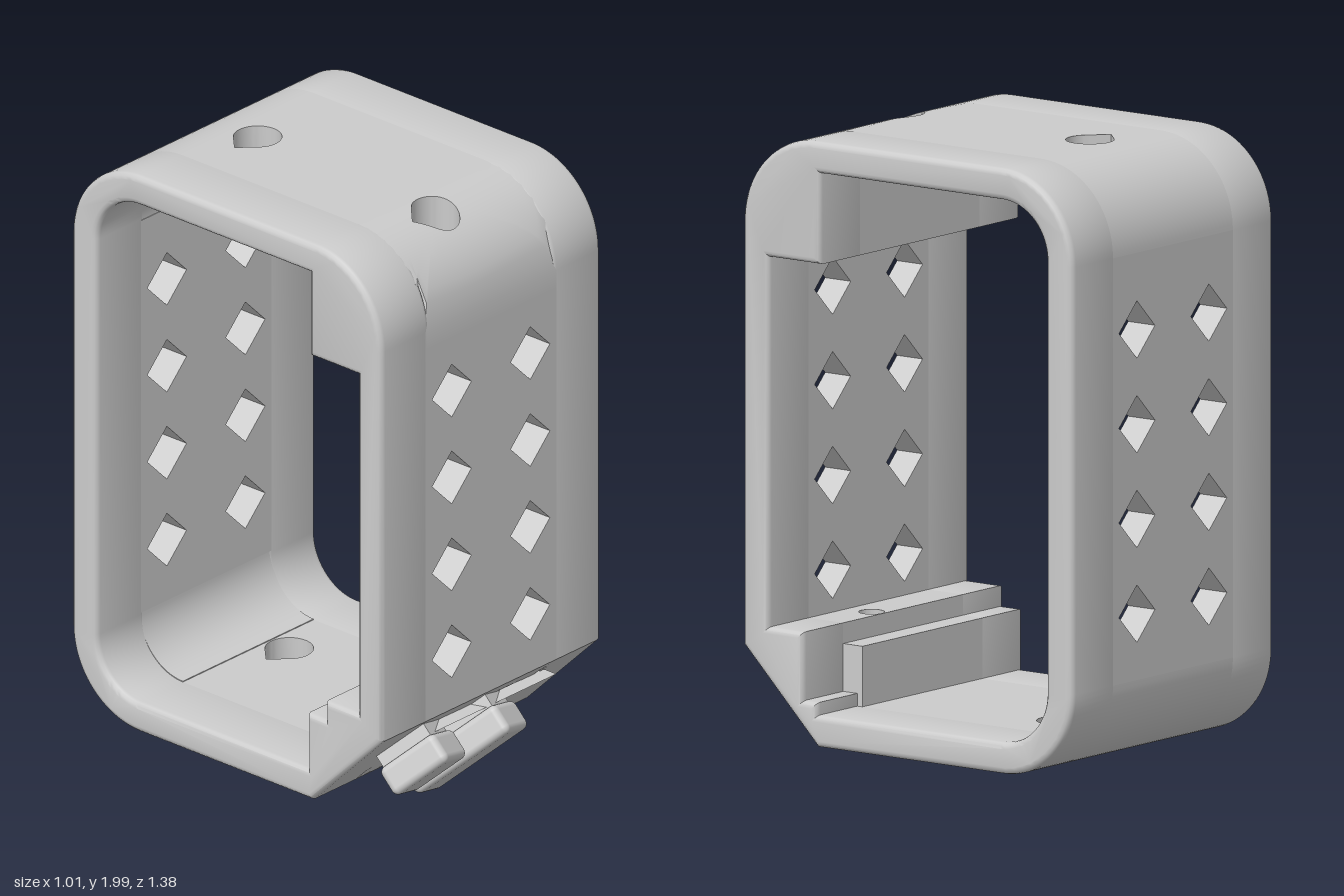
import * as THREE from 'three';
import { toCreasedNormals } from 'three/addons/utils/BufferGeometryUtils.js';
import { RoundedBoxGeometry } from 'three/addons/geometries/RoundedBoxGeometry.js';

const mat = new THREE.MeshStandardMaterial({ color: 0xcccccc });
const HALF = 0.505, MID = 0.3; // half width, half width of the perforated middle

function add(parent, name, geo) {
  const m = new THREE.Mesh(geo, mat);
  m.name = name;
  parent.add(m);
  return m;
}

// Extrude a (-z, y) section along x from x0 to x1.
function alongX(shape, x0, x1, bevel = 0) {
  const g = new THREE.ExtrudeGeometry(shape, {
    depth: x1 - x0 - 2 * bevel, curveSegments: 12, bevelEnabled: bevel > 0,
    bevelThickness: bevel, bevelSize: bevel, bevelOffset: -bevel, bevelSegments: 3,
  });
  g.rotateY(Math.PI / 2).translate(x0 + bevel, 0, 0);
  return toCreasedNormals(g, 0.6);
}

// Full ring section; the inner front bottom rail differs at each end.
function ringSection(railPoints) {
  const s = new THREE.Shape();
  s.moveTo(-0.31, 0.1);
  s.lineTo(0.41, 0.1);
  s.absarc(0.41, 0.38, 0.28, -Math.PI / 2, 0, false);
  s.lineTo(0.69, 1.72);
  s.absarc(0.41, 1.72, 0.28, 0, Math.PI / 2, false);
  s.lineTo(-0.32, 2);
  s.absarc(-0.32, 1.72, 0.28, Math.PI / 2, Math.PI, false);
  s.lineTo(-0.6, 0.39);
  s.closePath();
  const h = new THREE.Path();
  h.moveTo(-0.5, 1.615);
  h.lineTo(-0.3, 1.615);
  h.lineTo(-0.3, 1.9);
  h.lineTo(0.41, 1.9);
  h.absarc(0.41, 1.725, 0.175, Math.PI / 2, 0, true);
  h.lineTo(0.585, 0.375);
  h.absarc(0.41, 0.375, 0.175, 0, -Math.PI / 2, true);
  for (const [z, y] of railPoints) h.lineTo(-z, y);
  h.closePath();
  s.holes.push(h);
  return s;
}

// Quarter ring section for the two back corners.
function cornerSection(y, a0, a1) {
  const s = new THREE.Shape();
  s.absarc(0.41, y, 0.28, a0, a1, false);
  s.absarc(0.41, y, 0.177, a1, a0, true);
  s.closePath();
  return s;
}

// Wall with two columns of diamond openings.
function diamondWall(y0, y1, z0, z1) {
  const s = new THREE.Shape();
  s.moveTo(-MID, y0); s.lineTo(MID, y0); s.lineTo(MID, y1); s.lineTo(-MID, y1); s.closePath();
  for (const x of [-0.18, 0.18]) for (let i = 0; i < 4; i++) {
    const y = 0.588 + i * 0.297, d = 0.09, h = new THREE.Path();
    h.moveTo(x - d, y); h.lineTo(x, y + d); h.lineTo(x + d, y); h.lineTo(x, y - d); h.closePath();
    s.holes.push(h);
  }
  return new THREE.ExtrudeGeometry(s, { depth: z1 - z0, bevelEnabled: false }).translate(0, 0, z0);
}

// Slab between two height rules with a vertical round or teardrop hole,
// built from loops running around the hole.
function holedSlab(z0, z1, hole, bottom, top) {
  const angles = [];
  for (let i = 0; i < 48; i++) angles.push(-Math.PI + i * Math.PI / 24);
  for (const x of [-MID, MID]) for (const z of [z0, z1]) angles.push(Math.atan2(z - hole.z, x - hole.x));
  angles.sort((a, b) => a - b);
  const steps = 10, loops = [];
  const loop = (f, rule) => loops.push(angles.map((a) => {
    const c = Math.cos(a), s = Math.sin(a);
    const phi = Math.PI - Math.abs(a);
    const rho = hole.tear && phi < Math.PI / 4 ? hole.r / Math.cos(Math.PI / 4 - phi) : hole.r;
    const dx = Math.abs(c) < 1e-9 ? Infinity : ((c > 0 ? MID : -MID) - hole.x) / c;
    const dz = Math.abs(s) < 1e-9 ? Infinity : ((s > 0 ? z1 : z0) - hole.z) / s;
    const d = THREE.MathUtils.lerp(rho, Math.min(dx, dz), f);
    const z = hole.z + s * d;
    return [hole.x + c * d, rule(z), z];
  }));
  for (let i = 0; i <= steps; i++) loop(i / steps, top);
  for (let i = steps; i >= 0; i--) loop(i / steps, bottom);
  const pos = [], n = angles.length;
  loops.forEach((A, i) => {
    const B = loops[(i + 1) % loops.length];
    for (let j = 0; j < n; j++) {
      const k = (j + 1) % n;
      pos.push(...A[j], ...A[k], ...B[j], ...A[k], ...B[k], ...B[j]);
    }
  });
  const g = new THREE.BufferGeometry();
  g.setAttribute('position', new THREE.Float32BufferAttribute(pos, 3));
  return toCreasedNormals(g, 0.6);
}

export function createModel() {
  const model = new THREE.Group();
  model.name = 'perforatedFrame';
  const flat = (y) => () => y;

  // Rounded ends of the ring
  const stepped = [[0.29, 0.2], [0.29, 0.39], [0.365, 0.39], [0.365, 0.455], [0.5, 0.455]];
  const plain = [[0.31, 0.2], [0.31, 0.24], [0.365, 0.24], [0.365, 0.455], [0.5, 0.455]];
  add(model, 'rightEnd', alongX(ringSection(stepped), -HALF, -MID + 0.02, 0.02));
  add(model, 'leftEnd', alongX(ringSection(plain), MID - 0.02, HALF, 0.02));

  // Walls and back corners
  add(model, 'frontWall', diamondWall(0.455, 1.615, 0.5, 0.6));
  add(model, 'backWall', diamondWall(0.38, 1.72, -0.69, -0.585));
  add(model, 'backTopCorner', alongX(cornerSection(1.72, 0, Math.PI / 2), -MID, MID));
  add(model, 'backBottomCorner', alongX(cornerSection(0.38, -Math.PI / 2, 0), -MID, MID));

  // Roof and floor with teardrop holes
  add(model, 'roof', holedSlab(-0.41, 0.3, { x: -0.045, z: -0.33, r: 0.075, tear: true }, flat(1.9), flat(2)));
  add(model, 'floor', holedSlab(-0.41, 0.31, { x: 0.1, z: -0.33, r: 0.075, tear: true }, flat(0.1), flat(0.2)));

  // Solid front top corner: counterbored hole
  const arc = (z) => 1.72 + Math.sqrt(Math.max(0, 0.0784 - Math.max(0, z - 0.32) ** 2));
  add(model, 'topBlock', holedSlab(0.3, 0.6, { x: -0.045, z: 0.41, r: 0.075, tear: true }, flat(1.66), arc));
  add(model, 'topBlockSeat', holedSlab(0.3, 0.6, { x: -0.045, z: 0.41, r: 0.04 }, flat(1.615), flat(1.66)));

  // Chamfered front bottom rail: counterbored from below
  const chamfer = (z) => Math.max(0.1, z - 0.21);
  add(model, 'railBase', holedSlab(0.29, 0.6, { x: 0.1, z: 0.41, r: 0.075, tear: true },
    (z) => Math.min(0.34, chamfer(z)), flat(0.34)));
  add(model, 'railStep', holedSlab(0.29, 0.6, { x: 0.1, z: 0.41, r: 0.04 },
    (z) => Math.max(0.34, chamfer(z)), flat(0.39)));
  add(model, 'railTop', holedSlab(0.365, 0.6, { x: 0.1, z: 0.41, r: 0.04 }, flat(0.39), flat(0.455)));

  // Two slanted lugs standing on the chamfer
  const lugs = new THREE.Group();
  lugs.name = 'lugs';
  lugs.position.set(0, 0.245, 0.455);
  lugs.rotation.x = Math.PI / 4;
  for (const [x, v, len] of [[-0.28, 0.075, 0.22], [-0.03, 0, 0.38]]) {
    const lug = new THREE.Group();
    lug.name = 'lug';
    lug.position.set(x, v, 0);
    lug.rotation.z = -0.45;
    add(lug, 'lugHead', new RoundedBoxGeometry(0.175, len, 0.1, 3, 0.022)).position.z = 0.09;
    add(lug, 'lugNeck', new THREE.BoxGeometry(0.13, len - 0.03, 0.1)).position.z = 0.03;
    lugs.add(lug);
  }
  model.add(lugs);
  return model;
}
